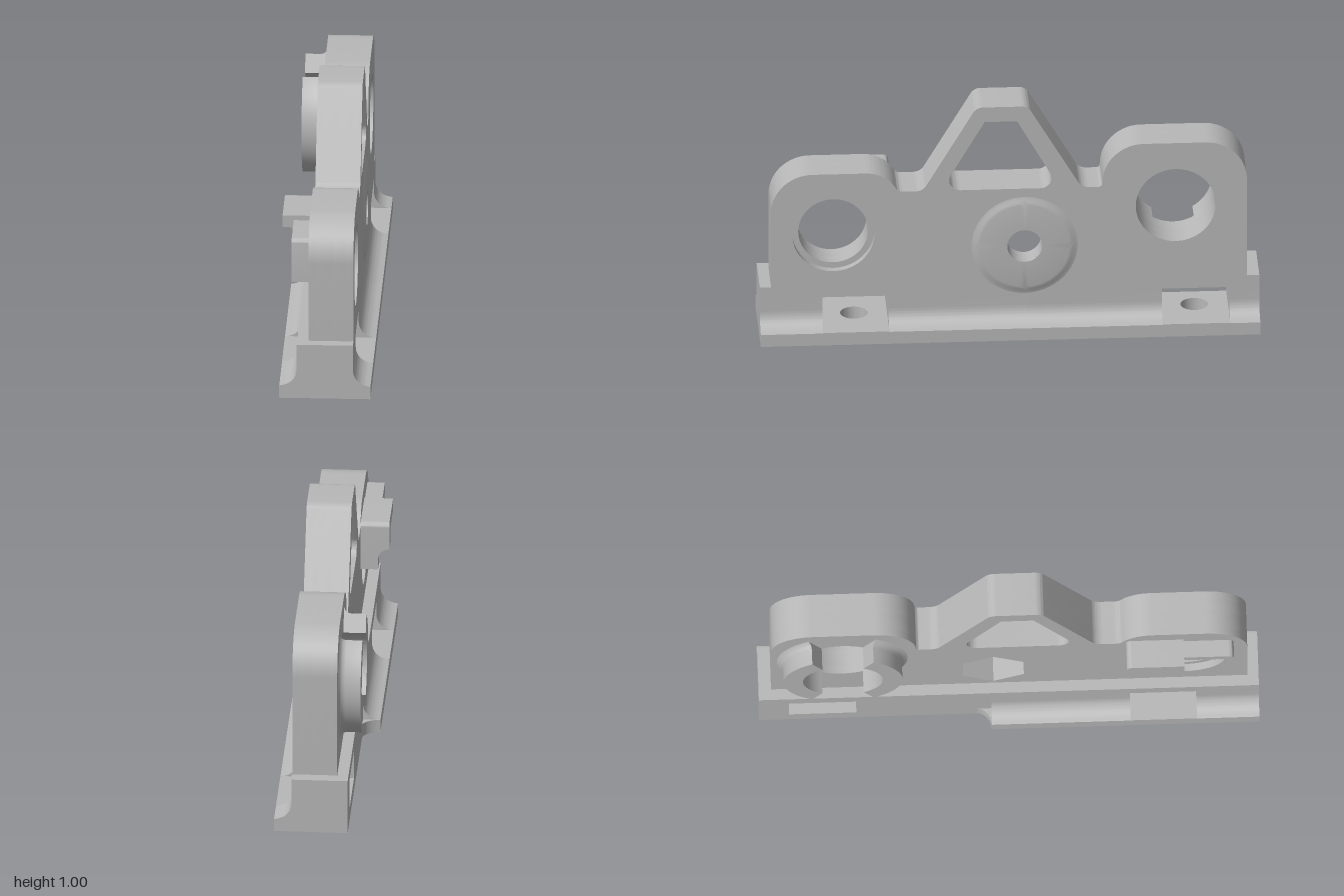
import * as THREE from 'three';
import { toCreasedNormals } from 'three/addons/utils/BufferGeometryUtils.js';

const grey = new THREE.MeshStandardMaterial({ color: 0xb8b8b8, side: THREE.DoubleSide });
grey.name = 'machined grey';

// Adds a closed polygon with rounded corners [a, b, radius] to a shape or path
function rounded(path, pts) {
  const n = pts.length;
  pts.forEach((p, i) => {
    const c = new THREE.Vector2(p[0], p[1]);
    const a = new THREE.Vector2(...pts[(i + n - 1) % n].slice(0, 2)).sub(c).normalize();
    const b = new THREE.Vector2(...pts[(i + 1) % n].slice(0, 2)).sub(c).normalize();
    const r = p[2] || 0;
    const turn = Math.PI - Math.acos(THREE.MathUtils.clamp(a.dot(b), -1, 1));
    const t = r * Math.tan(turn / 2), h = t - (4 / 3) * Math.tan(turn / 4) * r;
    const at = (dir, d) => c.clone().addScaledVector(dir, d);
    const s = at(a, t), e = at(b, t), k1 = at(a, h), k2 = at(b, h);
    if (i === 0) path.moveTo(s.x, s.y); else path.lineTo(s.x, s.y);
    if (r) path.bezierCurveTo(k1.x, k1.y, k2.x, k2.y, e.x, e.y);
  });
  path.closePath();
  return path;
}

// Outlines are given as [z, y]; the extrusion axis becomes x
const side = (pts) => pts.map(([z, y, r]) => [-z, y, r]);
const circle = (a, b, r) => new THREE.Path().absarc(a, b, r, 0, Math.PI * 2);

function extrude(shape, depth) {
  return new THREE.ExtrudeGeometry(shape, { depth, bevelEnabled: false, curveSegments: 20 });
}

export function createModel() {
  const model = new THREE.Group();
  model.name = 'bearingBracket';

  const add = (geo, name, parent = model) => {
    const mesh = new THREE.Mesh(toCreasedNormals(geo, 0.55), grey);
    mesh.name = name;
    parent.add(mesh);
    return mesh;
  };
  const alongX = (shape, x0, x1, name) =>
    add(extrude(shape, x1 - x0).rotateY(Math.PI / 2).translate(x0, 0, 0), name);
  const alongZ = (shape, z0, z1, name) => add(extrude(shape, z1 - z0).translate(0, 0, z0), name);
  const alongY = (shape, y0, y1, name) =>
    add(extrude(shape, y1 - y0).rotateX(Math.PI / 2).translate(0, y1, 0), name);

  // Upright plate in layers, so bores can step in diameter
  const outline = side([
    [0.955, 0.2], [0.955, 0.725, 0.165], [0.5, 0.725, 0.14], [0.445, 0.64, 0.03],
    [0.348, 0.64, 0.05], [0.133, 1.005, 0.045], [-0.073, 1.005, 0.045], [-0.288, 0.64, 0.05],
    [-0.37, 0.64, 0.015], [-0.385, 0.825, 0.165], [-0.95, 0.825, 0.165], [-0.95, 0.2],
  ]);
  const window = side([[0.275, 0.64, 0.045], [0.1, 0.94], [-0.03, 0.94], [-0.2, 0.64, 0.045]]);
  const hexagon = [...Array(6)].map((_, i) => {
    const a = Math.PI / 2 + (i * Math.PI) / 3;
    return [0.06 + 0.14 * Math.cos(a), 0.39 + 0.14 * Math.sin(a)];
  });
  const layers = [[-0.07, -0.04, true, 0.165], [-0.04, 0.03, true, 0.14],
    [0.03, 0.08, false, 0.14], [0.08, 0.11, false, 0.165]];
  for (const [x0, x1, hex, bore] of layers) {
    const s = rounded(new THREE.Shape(), outline);
    s.holes.push(
      rounded(new THREE.Path(), window),
      hex ? rounded(new THREE.Path(), hexagon) : circle(0.06, 0.39, 0.07),
      circle(-0.705, 0.46, bore),
      circle(0.665, 0.55, 0.16),
    );
    alongX(s, x0, x1, 'uprightPlate');
  }

  // Base rail: full sections between the two mounting pockets
  function railSection(flange) {
    const s = new THREE.Shape();
    s.moveTo(0.18, 0).lineTo(0.18, 0.053).lineTo(0.172, 0.055);
    s.bezierCurveTo(0.138, 0.06, 0.11, 0.085, 0.11, 0.125);
    s.lineTo(0.11, 0.23).lineTo(-0.115, 0.23);
    if (flange) {
      s.lineTo(-0.115, 0.125).bezierCurveTo(-0.115, 0.085, -0.143, 0.06, -0.177, 0.055);
      s.lineTo(-0.185, 0.053).lineTo(-0.185, 0);
    } else s.lineTo(-0.115, 0);
    s.closePath();
    return s;
  }
  const rails = [[-1, -0.88, false], [-0.61, -0.07, false], [-0.07, 0.485, true], [0.75, 1, true]];
  for (const [z0, z1, flange] of rails) alongZ(railSection(flange), z0, z1, 'baseRail');

  // Mounting pockets: drilled floor below, bridge above
  for (const [z0, z1, left] of [[-0.88, -0.61, -0.115], [0.485, 0.75, -0.185]]) {
    const floor = rounded(new THREE.Shape(), [[left, z0], [0.18, z0], [0.18, z1], [left, z1]]);
    floor.holes.push(circle(0, (z0 + z1) / 2, 0.055));
    alongY(floor, 0, 0.055, 'pocketFloor');
    add(new THREE.BoxGeometry(0.225, 0.05, z1 - z0)
      .translate(-0.0025, 0.205, (z0 + z1) / 2), 'pocketBridge');
  }

  // Curved run-out where the short flange ends
  const runOut = new THREE.Shape();
  runOut.moveTo(-0.115, -0.07).lineTo(-0.185, -0.07);
  runOut.bezierCurveTo(-0.145, -0.075, -0.115, -0.095, -0.115, -0.13).closePath();
  alongY(runOut, 0, 0.055, 'flangeRunOut');

  // Raised boss round the centre hole
  const boss = [[0.07, 0], [0.07, 0.01], [0.18, 0.01], [0.19, 0.008], [0.2, 0.003], [0.213, 0]]
    .reverse().map((p) => new THREE.Vector2(...p));
  const bossMesh = add(new THREE.LatheGeometry(boss, 64), 'centreBoss');
  bossMesh.rotation.z = -Math.PI / 2;
  bossMesh.position.set(0.11, 0.39, -0.06);

  // Split collar round the large bore, flared where it meets the plate
  const collar = new THREE.Group();
  collar.name = 'splitCollar';
  collar.rotation.z = Math.PI / 2;
  collar.position.set(-0.07, 0.55, -0.665);
  model.add(collar);
  const profile = [[0.16, 0], [0.262, 0], [0.249, 0.006], [0.241, 0.015], [0.238, 0.028],
    [0.238, 0.09], [0.16, 0.09], [0.16, 0]].map((p) => new THREE.Vector2(...p));
  const gap = THREE.MathUtils.degToRad(31);
  for (const start of [-Math.PI / 2 + gap, Math.PI / 2 + gap]) {
    const sweep = Math.PI - 2 * gap;
    add(new THREE.LatheGeometry(profile, 32, start, sweep), 'collarSegment', collar);
    for (const phi of [start, start + sweep]) {
      const cap = add(new THREE.ShapeGeometry(new THREE.Shape(profile)), 'collarEnd', collar);
      cap.rotation.y = phi - Math.PI / 2;
    }
  }

  // Stepped hook over the small bore
  const hook = (pts, x0, x1, name) =>
    alongX(rounded(new THREE.Shape(), side(pts)), x0, x1, name);
  hook([[0.47, 0.46], [0.47, 0.665, 0.02], [0.7, 0.665], [0.7, 0.615], [0.53, 0.615, 0.015],
    [0.53, 0.46]], -0.14, -0.07, 'hookBase');
  hook([[0.47, 0.55], [0.47, 0.665, 0.02], [0.7, 0.665], [0.7, 0.615], [0.53, 0.615, 0.015],
    [0.53, 0.55]], -0.185, -0.14, 'hookLip');
  hook([[0.7, 0.615], [0.7, 0.645], [0.9, 0.645, 0.02], [0.9, 0.46], [0.865, 0.46],
    [0.865, 0.615, 0.015]], -0.14, -0.07, 'hookArm');

  // Concave underside of the hook lip
  const gusset = new THREE.Shape();
  gusset.moveTo(-0.14, 0.55).lineTo(-0.185, 0.55);
  gusset.quadraticCurveTo(-0.142, 0.545, -0.14, 0.505).closePath();
  alongZ(gusset, 0.47, 0.53, 'hookGusset');

  return model;
}
